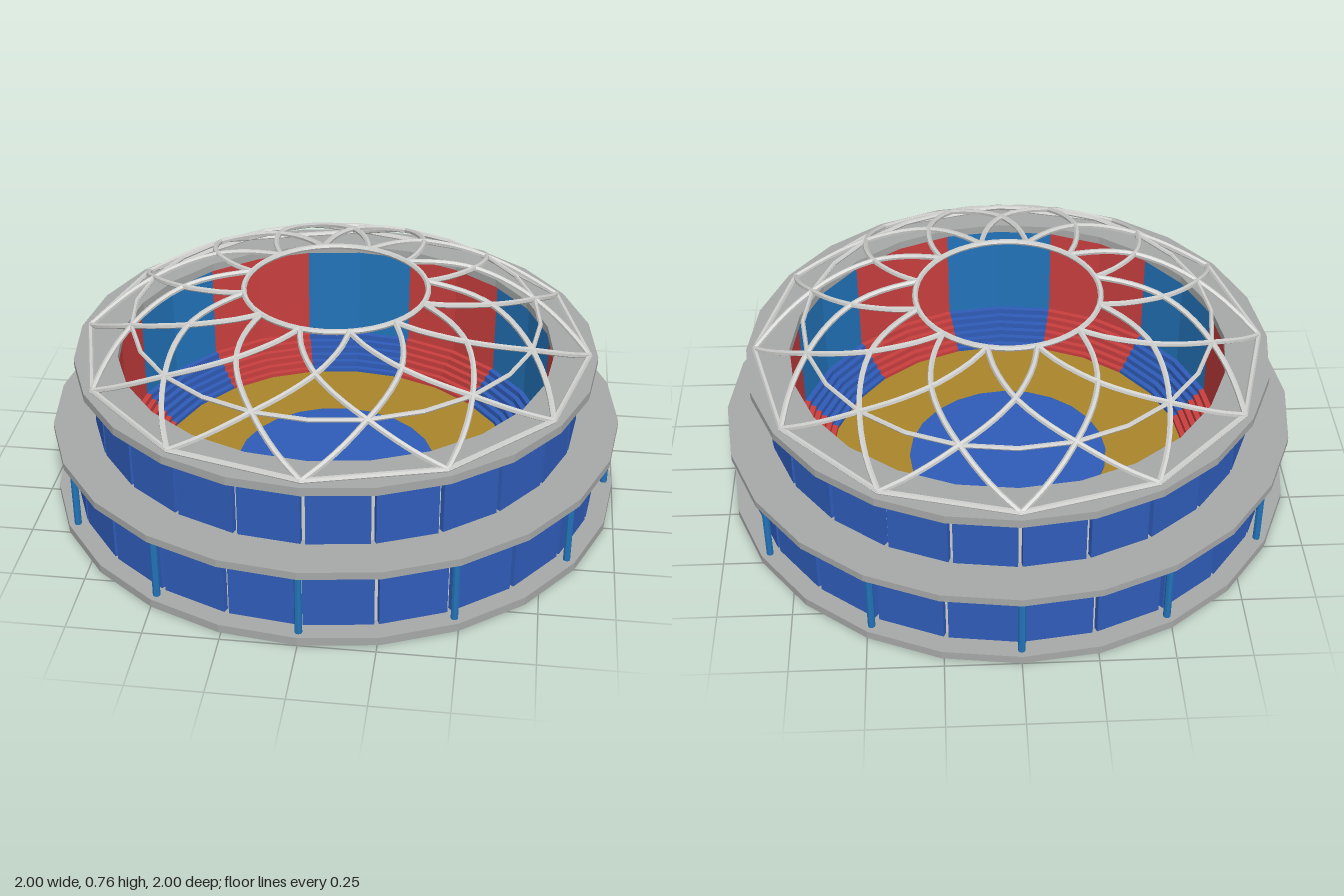
import * as THREE from 'three';

const mat = (name, color, side = THREE.FrontSide) => {
  const m = new THREE.MeshStandardMaterial({ color, flatShading: true, side });
  m.name = name;
  return m;
};

export function createModel() {
  const grey = mat('concrete grey', 0xa6a8a7);
  const blue = mat('panel blue', 0x2f5cb8, THREE.DoubleSide);
  const bright = mat('column blue', 0x2273b9, THREE.DoubleSide);
  const red = mat('seat red', 0xc83e3e, THREE.DoubleSide);
  const gold = mat('floor gold', 0xa8842a);
  const light = mat('lattice grey', 0xcfd0ce);

  const model = new THREE.Group();
  model.name = 'arena';
  const group = (name) => {
    const g = new THREE.Group();
    g.name = name;
    model.add(g);
    return g;
  };
  const add = (parent, name, geometry, material) => {
    const m = new THREE.Mesh(geometry, material);
    m.name = name;
    parent.add(m);
    return m;
  };
  const STEP = Math.PI / 12; // 24-sided plan
  const v2 = (r, y) => new THREE.Vector2(r, y);
  const disc = (name, r, y0, y1, material) =>
    add(model, name, new THREE.CylinderGeometry(r, r, y1 - y0, 24).translate(0, (y0 + y1) / 2, 0), material);
  const slabRing = (name, r0, r1, y0, y1) =>
    add(model, name, new THREE.LatheGeometry(
      [v2(r0, y0), v2(r1, y0), v2(r1, y1), v2(r0, y1), v2(r0, y0)], 24), grey);

  // Slabs and floor
  disc('baseSlab', 1, 0, 0.03, grey);
  slabRing('terraceRing', 0.79, 1, 0.26, 0.287);
  slabRing('roofRing', 0.76, 0.91, 0.51, 0.54);
  disc('arenaFloor', 0.66, 0.03, 0.036, gold);
  disc('centreCircle', 0.36, 0.036, 0.041, blue);

  // Faceted outer walls: flat panels with recessed light mullions in the joints
  const wall = (name, r, y0, y1) => {
    const g = group(name);
    const h = y1 - y0, y = (y0 + y1) / 2, t = 0.02;
    const panel = new THREE.BoxGeometry(2 * r * Math.sin(STEP / 2) - 0.016, h, t)
      .translate(0, y, r * Math.cos(STEP / 2) - t / 2);
    const bar = new THREE.BoxGeometry(0.04, h, 0.01).translate(0, y, r - 0.027);
    for (let i = 0; i < 24; i++) {
      add(g, 'wallPanel', panel, blue).rotation.y = (i + 0.5) * STEP;
      add(g, 'mullion', bar, light).rotation.y = i * STEP;
    }
  };
  wall('lowerWall', 0.935, 0.03, 0.26);
  wall('upperWall', 0.853, 0.287, 0.51);

  // Columns around the lower terrace
  const columns = group('columns');
  const column = new THREE.CylinderGeometry(0.0125, 0.0125, 0.23, 8).translate(0, 0.145, 0.969);
  for (let i = 0; i < 12; i++) add(columns, 'column', column, bright).rotation.y = i * 2 * STEP;

  // Stepped seating and the tall wall behind it, in alternating colours
  const seating = group('seating');
  const rows = 6, profile = [];
  for (let i = rows; i > 0; i--) {
    const r = 0.65 + 0.02 * i, y = 0.03 + 0.02 * i;
    profile.push(v2(r, y), v2(r - 0.02, y));
  }
  profile.push(v2(0.65, 0.03));
  for (let i = 0; i < 12; i++) {
    const start = (2 * i - 1) * STEP;
    const even = i % 2 === 0;
    add(seating, 'seatRows', new THREE.LatheGeometry(profile, 2, start, 2 * STEP), even ? blue : red);
    add(seating, 'backWall',
      new THREE.LatheGeometry([v2(0.77, 0.51), v2(0.77, 0.15)], 2, start, 2 * STEP), even ? bright : red);
  }

  // Dome lattice: mirrored spirals running up a curved profile
  const dome = group('domeLattice');
  const rise = new THREE.CatmullRomCurve3([
    [0.88, 0.545], [0.705, 0.655], [0.535, 0.72], [0.317, 0.753],
  ].map(([r, y]) => new THREE.Vector3(r, y, 0)));
  for (const dir of [1, -1]) {
    const pts = [];
    for (let j = 0; j <= 9; j++) {
      const p = rise.getPoint(j / 9), a = dir * (j / 3) * STEP;
      pts.push(new THREE.Vector3(Math.sin(a) * p.x, p.y, Math.cos(a) * p.x));
    }
    const rib = new THREE.TubeGeometry(new THREE.CatmullRomCurve3(pts), 18, 0.01, 6);
    for (let i = 0; i < 12; i++) add(dome, 'spiralRib', rib, light).rotation.y = i * 2 * STEP;
  }

  // Dome rings
  const hoop = (name, r, y, tube, sides) =>
    add(dome, name, new THREE.TorusGeometry(r, tube, 6, sides).rotateX(Math.PI / 2).translate(0, y, 0), light);
  hoop('lowerHoop', 0.88, 0.545, 0.01, 12);
  hoop('middleHoop', 0.705, 0.655, 0.008, 24);
  hoop('crownHoop', 0.317, 0.753, 0.01, 48);

  return model;
}
